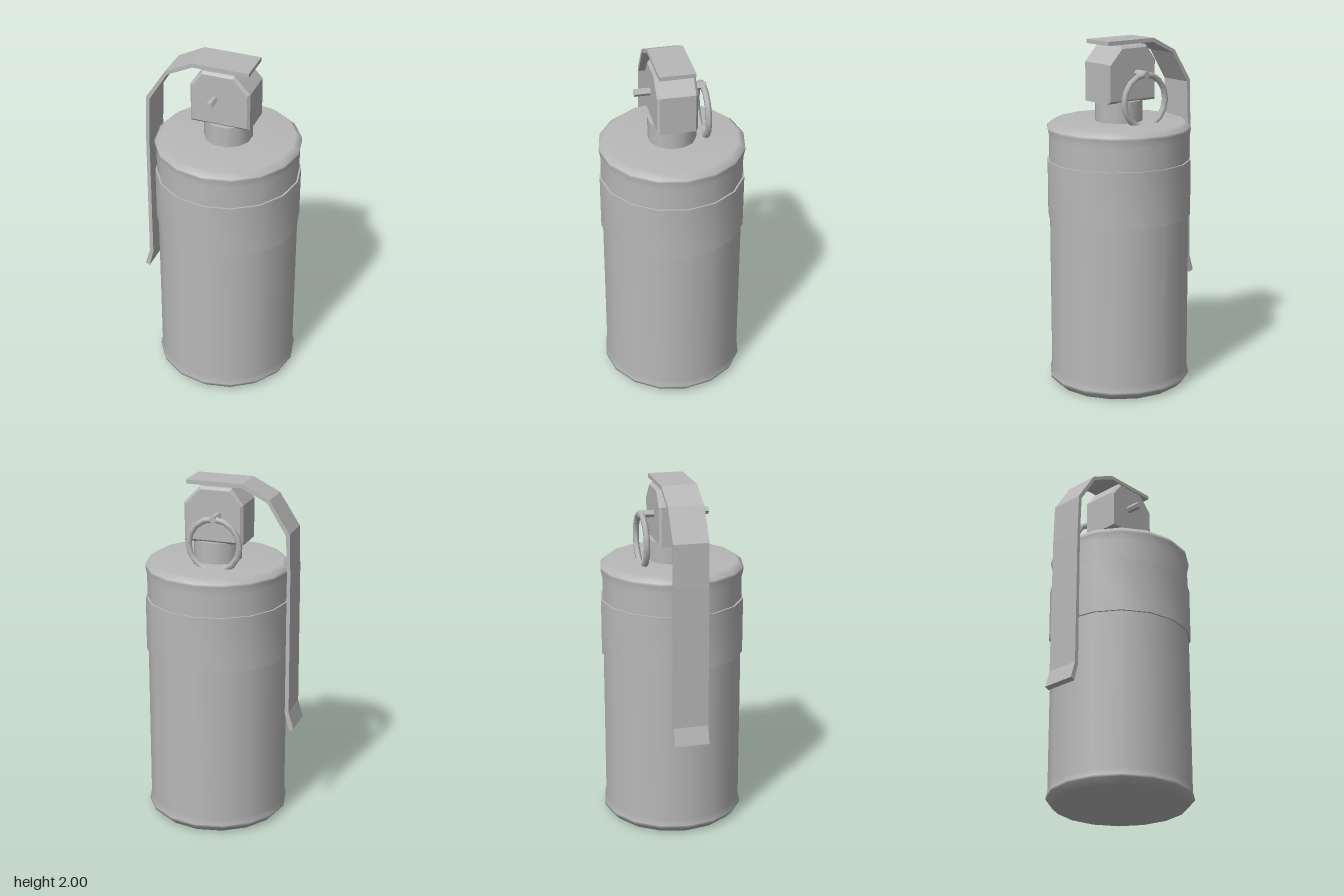
import * as THREE from 'three';
import { toCreasedNormals } from 'three/addons/utils/BufferGeometryUtils.js';

const SIDES = 16;
const AXIS_X = 0.04; // the canister sits slightly off centre, balancing the lever

const points = (list) => list.map(([x, y]) => new THREE.Vector2(x, y));

// Extrude an outline drawn in the front plane, centred on z = 0
function extrudeCentred(outline, depth, bevel = 0) {
  const geometry = new THREE.ExtrudeGeometry(new THREE.Shape(points(outline)), {
    depth: depth - 2 * bevel,
    bevelEnabled: bevel > 0,
    bevelThickness: bevel,
    bevelSize: bevel,
    bevelOffset: -bevel,
    bevelSegments: 1,
  });
  return geometry.translate(0, 0, bevel - depth / 2);
}

export function createModel() {
  const model = new THREE.Group();
  model.name = 'canister';
  const grey = new THREE.MeshStandardMaterial({ color: 0xb8b8b8 });
  grey.name = 'grey metal';

  const add = (name, geometry, x = 0, y = 0, z = 0) => {
    const mesh = new THREE.Mesh(geometry, grey);
    mesh.name = name;
    mesh.position.set(x, y, z);
    model.add(mesh);
    return mesh;
  };

  // Body with chamfered rims that swell slightly past the wall
  add('body', new THREE.LatheGeometry(points([
    [0, 0], [0.375, 0], [0.41, 0.035], [0.41, 0.05], [0.401, 0.085],
    [0.401, 1.45], [0.41, 1.495], [0.41, 1.51], [0.375, 1.54], [0, 1.54],
  ]), SIDES), AXIS_X);

  // Raised band around the upper body
  add('band', toCreasedNormals(new THREE.LatheGeometry(points([
    [0.39, 1.0], [0.411, 1.0], [0.411, 1.32], [0.39, 1.32],
  ]), SIDES), 0.6), AXIS_X);

  // Neck between body and head
  add('neck', new THREE.CylinderGeometry(0.135, 0.135, 0.14, 12, 1, false, Math.PI / 12),
    AXIS_X, 1.59);

  // Bevelled head block with cut upper corners
  add('head', extrudeCentred([
    [-0.142, 1.655], [0.2, 1.655], [0.2, 1.875], [0.11, 1.97], [-0.075, 1.97], [-0.142, 1.88],
  ], 0.225, 0.014));

  // Bent safety lever
  add('lever', extrudeCentred([
    [0.19, 2], [-0.135, 2], [-0.29, 1.922], [-0.407, 1.742], [-0.415, 1.5], [-0.42, 0.69],
    [-0.45, 0.59], [-0.424, 0.578], [-0.397, 0.685], [-0.395, 1.5], [-0.386, 1.732],
    [-0.277, 1.906], [-0.13, 1.977], [0.19, 1.977],
  ], 0.2));

  // Hexagonal pin through the head
  const pin = new THREE.CylinderGeometry(0.021, 0.021, 0.4, 6, 1, false, Math.PI / 2);
  add('pin', toCreasedNormals(pin.rotateX(Math.PI / 2), 0.6), 0, 1.815, 0);

  // Pull ring hanging from the back end of the pin
  add('pullRing', new THREE.TorusGeometry(0.147, 0.018, 6, 16), 0, 1.667, -0.183);

  return model;
}
